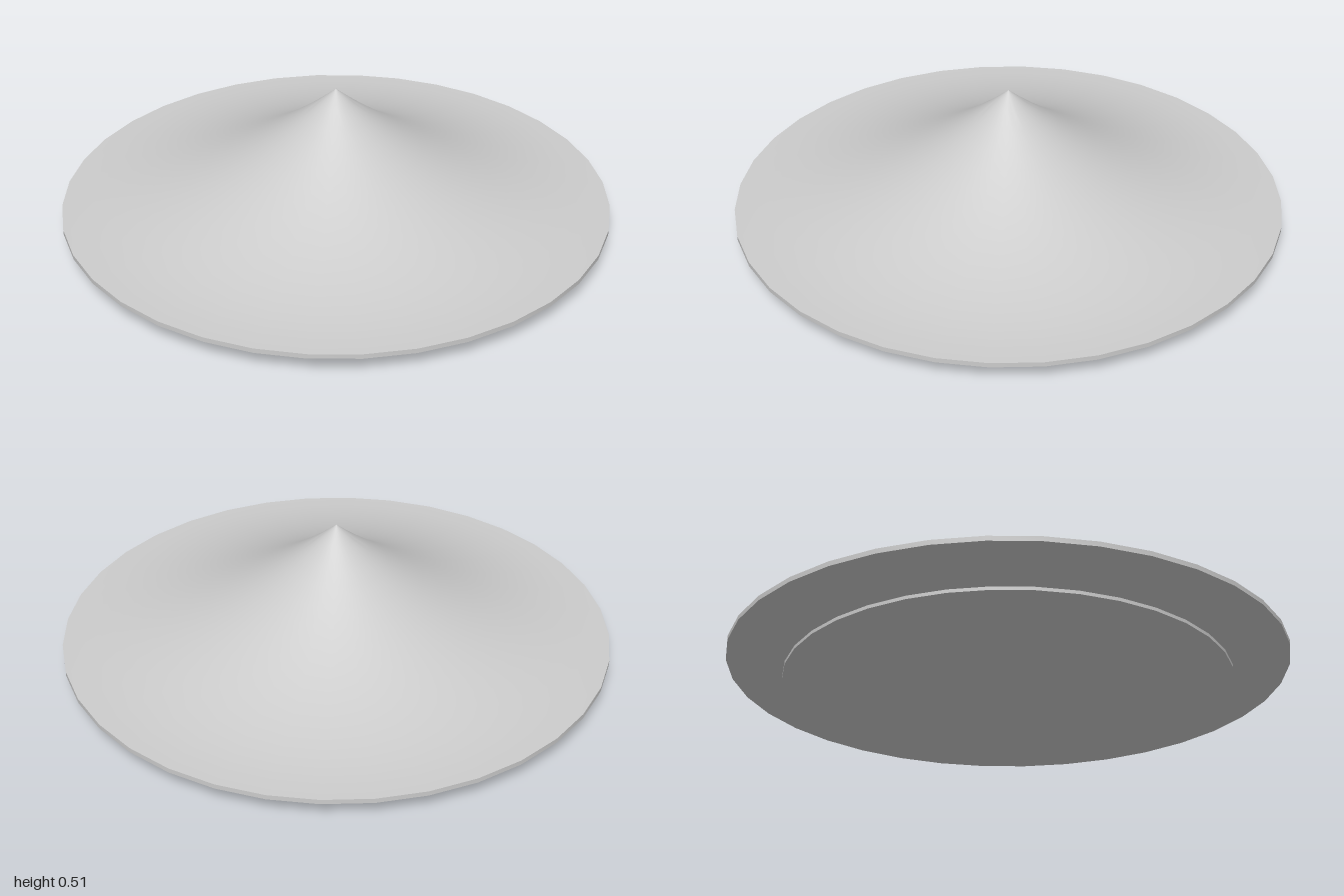
import * as THREE from 'three';
import { toCreasedNormals } from 'three/addons/utils/BufferGeometryUtils.js';

// One flared roof tier: flat underside, thin rim, concave slope up to a point
function roofTier(name, radius, bottom, rimTop, apex) {
  const steps = 16;
  const profile = [new THREE.Vector2(0, bottom), new THREE.Vector2(radius, bottom)];
  for (let i = 0; i <= steps; i++) {
    const t = i / steps;
    profile.push(new THREE.Vector2(radius * (1 - t), rimTop + (apex - rimTop) * t * t));
  }
  const geometry = toCreasedNormals(new THREE.LatheGeometry(profile, 36), 0.6);
  const mesh = new THREE.Mesh(geometry, new THREE.MeshStandardMaterial({ color: 0xcccccc }));
  mesh.name = name;
  return mesh;
}

export function createModel() {
  const group = new THREE.Group();
  group.name = 'tieredRoof';
  // Lower tier rises into the hollow of the upper one
  group.add(roofTier('lowerTier', 0.8, 0, 0.012, 0.27));
  group.add(roofTier('upperTier', 1, 0.066, 0.083, 0.515));
  return group;
}
